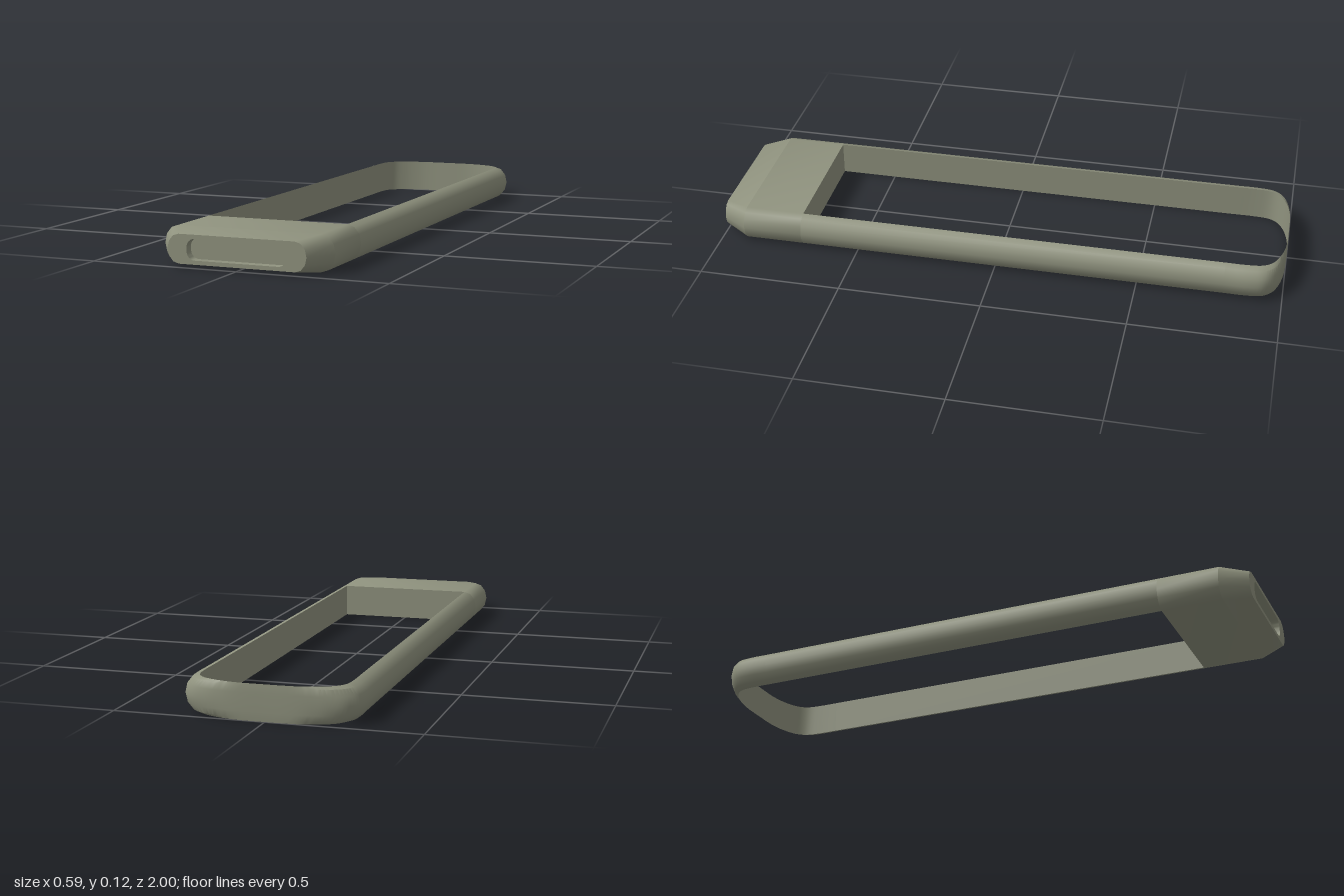
import * as THREE from 'three';
import { toCreasedNormals } from 'three/addons/utils/BufferGeometryUtils.js';

const MID = 0.059, HALF_H = 0.059, HALF_W = 0.292, INNER = 0.245;

// Skin between matching rows of points
function loft(rows) {
  const pos = [];
  for (let i = 0; i < rows.length - 1; i++) {
    for (let j = 0; j < rows[i].length - 1; j++) {
      const a = rows[i][j], b = rows[i + 1][j], c = rows[i + 1][j + 1], d = rows[i][j + 1];
      pos.push(...a, ...b, ...c, ...a, ...c, ...d);
    }
  }
  const g = new THREE.BufferGeometry();
  g.setAttribute('position', new THREE.Float32BufferAttribute(pos, 3));
  return toCreasedNormals(g, 0.6);
}

// Clockwise outline with rounded corners, centred on the mid height
function outline(halfW, halfH, rx, ry, steps) {
  const pts = [];
  for (let q = 0; q < 4; q++) {
    const sx = q < 2 ? 1 : -1, sy = q === 0 || q === 3 ? 1 : -1;
    for (let k = 0; k <= steps; k++) {
      const t = Math.PI / 2 - (q + k / steps) * Math.PI / 2;
      pts.push(new THREE.Vector2(
        sx * (halfW - rx) + rx * Math.cos(t),
        MID + sy * (halfH - ry) + ry * Math.sin(t)));
    }
  }
  return pts;
}
const ringAt = (pts, z) => [...pts, pts[0]].map(p => [p.x, p.y, z]);

export function createModel() {
  const group = new THREE.Group();
  const body = new THREE.MeshStandardMaterial({ color: 0x8f927e });
  body.name = 'olive grey';
  const add = (name, geometry, z = 0) => {
    const m = new THREE.Mesh(geometry, body);
    m.name = name;
    m.position.z = z;
    group.add(m);
    return m;
  };

  // Rail: outer and inner plan lines (x, z) that meet at the thin back
  const outer = [[0.292, -0.8], [0.292, -0.89], [0.282, -0.938], [0.25, -0.97], [0.2, -0.988], [0.15, -0.996], [0.1, -0.9995], [0, -1]];
  const inner = [[0.245, -0.8], [0.245, -0.865], [0.238, -0.925], [0.215, -0.957], [0.175, -0.978], [0.135, -0.99], [0.09, -0.997], [0, -0.9985]];
  const curve = half => {
    const mirrored = half.slice(0, -1).reverse().map(([x, z]) => [-x, z]);
    return new THREE.CatmullRomCurve3([...half, ...mirrored].map(([x, z]) => new THREE.Vector3(x, 0, z)));
  };
  const outerPath = curve(outer).getPoints(56), innerPath = curve(inner).getPoints(56);
  for (const [path, x] of [[outerPath, HALF_W], [innerPath, INNER]]) {
    path.unshift(new THREE.Vector3(x, 0, 0.7));
    path.push(new THREE.Vector3(-x, 0, 0.7));
  }
  const rows = outerPath.map((o, i) => {
    const n = innerPath[i], row = [];
    for (let k = 0; k <= 6; k++) {
      const t = -Math.PI / 2 + k * Math.PI / 6, p = n.clone().lerp(o, Math.cos(t));
      row.push([p.x, MID + HALF_H * Math.sin(t), p.z]);
    }
    row.push(row[0]);
    return row;
  });
  add('loopRail', loft(rows));

  // Solid front block with a tapered nose
  const full = outline(HALF_W, HALF_H, 0.047, HALF_H, 3);
  const nose = outline(0.235, 0.047, 0.038, 0.047, 3);
  add('frontBlock', loft([ringAt(full, 0.7), ringAt(full, 0.91)]));
  add('taperedNose', loft([ringAt(full, 0.91), ringAt(nose, 1)]));
  const back = add('blockInnerWall', new THREE.PlaneGeometry(2 * INNER, 2 * HALF_H), 0.7);
  back.position.y = MID;
  back.rotation.y = Math.PI;

  // Front face with a shallow rounded slot
  const slot = outline(0.169, 0.034, 0.028, 0.028, 6);
  const face = new THREE.Shape(nose);
  face.holes.push(new THREE.Path(slot));
  add('frontFace', new THREE.ShapeGeometry(face), 1);
  add('slotWall', loft([ringAt(slot, 1), ringAt(slot, 0.97)]));
  add('slotFloor', new THREE.ShapeGeometry(new THREE.Shape(slot)), 0.97);

  return group;
}
